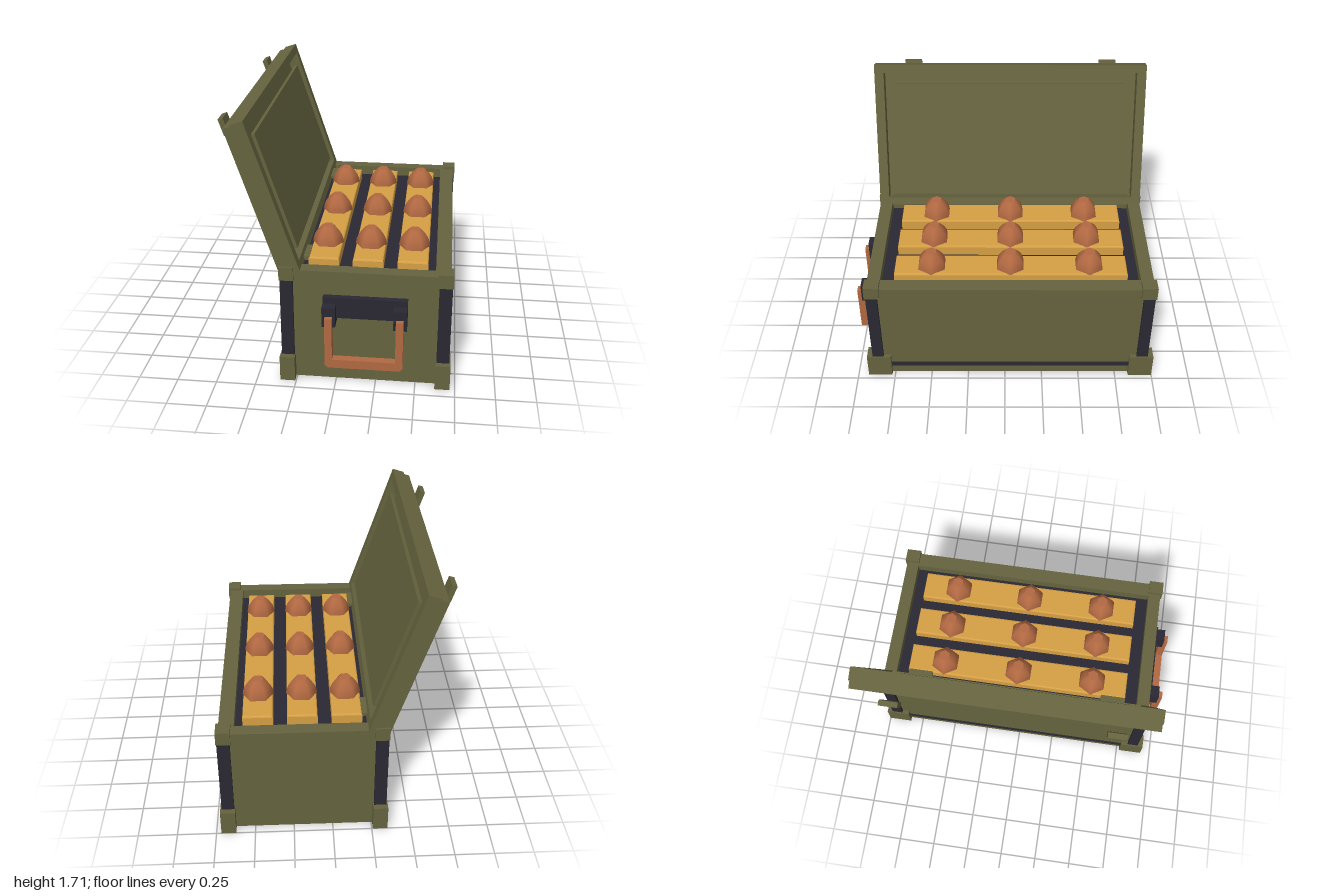
import * as THREE from 'three';

const CX = 0.183, CZ = -0.035; // centre of the crate body

const paint = (color) => new THREE.MeshStandardMaterial({ color });
const olive = paint(0x65633e), dark = paint(0x2a2832), copper = paint(0xb26942), wood = paint(0xd6a045);

function add(parent, name, geometry, material, x = 0, y = 0, z = 0) {
  const mesh = new THREE.Mesh(geometry, material);
  mesh.name = name;
  mesh.position.set(x, y, z);
  parent.add(mesh);
  return mesh;
}

// Box given by its lower and upper limits on each axis
function block(parent, name, material, [x0, x1], [y0, y1], [z0, z1]) {
  return add(parent, name, new THREE.BoxGeometry(x1 - x0, y1 - y0, z1 - z0), material,
    (x0 + x1) / 2, (y0 + y1) / 2, (z0 + z1) / 2);
}

function rectangle(Type, hw, hh) {
  return new Type([[-hw, -hh], [hw, -hh], [hw, hh], [-hw, hh]].map(([x, y]) => new THREE.Vector2(x, y)));
}

// Rectangular ring in the xy plane, extruded along z
function ring(hw, hh, innerW, innerH, depth) {
  const shape = rectangle(THREE.Shape, hw, hh);
  shape.holes.push(rectangle(THREE.Path, innerW, innerH));
  return new THREE.ExtrudeGeometry(shape, { depth, bevelEnabled: false });
}

function buildBody(root) {
  const body = new THREE.Group();
  body.name = 'body';
  body.position.set(CX, 0, CZ);
  root.add(body);

  // Main box, overhanging rim and the tray inside it
  block(body, 'mainBox', olive, [-0.507, 0.507], [0.005, 0.7], [-0.91, 0.91]);
  add(body, 'rim', ring(0.516, 0.922, 0.42, 0.838, 0.07).rotateX(-Math.PI / 2), olive, 0, 0.7, 0);
  block(body, 'tray', dark, [-0.42, 0.42], [0.69, 0.703], [-0.838, 0.838]);

  // Corner posts with feet and caps, and a dark strip on each long side
  for (const sx of [-1, 1]) {
    for (const sz of [-1, 1]) {
      add(body, 'cornerPost', new THREE.BoxGeometry(0.08, 0.56, 0.074), dark, sx * 0.486, 0.43, sz * 0.89);
      add(body, 'foot', new THREE.BoxGeometry(0.095, 0.17, 0.16), olive, sx * 0.4875, 0.085, sz * 0.885);
      add(body, 'cornerCap', new THREE.BoxGeometry(0.09, 0.09, 0.098), olive, sx * 0.485, 0.745, sz * 0.886);
    }
    add(body, 'sideStrip', new THREE.BoxGeometry(0.016, 0.032, 1.62), dark, sx * 0.506, 0.085, 0);
  }
}

function buildLid(root) {
  // Lid frame of reference: x out of the inside face, y down to up along the lid
  const lid = new THREE.Group();
  lid.name = 'lid';
  lid.position.set(-0.523, 1.705, CZ);
  lid.rotation.z = THREE.MathUtils.degToRad(18.1);
  root.add(lid);

  // Outer plate, raised border and a thin panel standing clear of the plate
  block(lid, 'lidPlate', olive, [-0.13, -0.08], [-0.995, -0.012], [-0.92, 0.92]);
  add(lid, 'lidBorder', ring(0.925, 0.5, 0.862, 0.446, 0.083).rotateY(Math.PI / 2), olive, -0.083, -0.5, 0);
  block(lid, 'lidInnerPanel', olive, [-0.032, -0.007], [-0.898, -0.129], [-0.778, 0.778]);

  // Latch plates standing off the outer face, hinge tabs at the foot
  for (const s of [-1, 1]) {
    add(lid, 'latch', new THREE.BoxGeometry(0.033, 0.108, 0.115), olive, -0.187, -0.05, s * 0.673);
    block(root, 'hingeTab', olive, [-0.27, -0.185], [0.755, 0.778], [CZ + s * 0.67 - 0.083, CZ + s * 0.67 + 0.083]);
  }
}

function buildHandle(root) {
  const handle = new THREE.Group();
  handle.name = 'handle';
  handle.position.x = CX;
  root.add(handle);

  // Bracket and its two lugs
  block(handle, 'handleBracket', dark, [-0.26, 0.26], [0.466, 0.606], [0.86, 0.912]);
  for (const s of [-1, 1]) {
    add(handle, 'handleLug', new THREE.BoxGeometry(0.083, 0.132, 0.09), dark, s * 0.2185, 0.498, 0.925);
  }

  // U-shaped grip with chamfered lower corners
  const outline = [[-0.24, 0.505], [-0.24, 0.18], [-0.222, 0.162], [0.222, 0.162], [0.24, 0.18], [0.24, 0.505],
    [0.194, 0.505], [0.194, 0.22], [-0.194, 0.22], [-0.194, 0.505]];
  const grip = new THREE.ExtrudeGeometry(new THREE.Shape(outline.map(([x, y]) => new THREE.Vector2(x, y))),
    { depth: 0.05, bevelEnabled: false });
  add(handle, 'handleGrip', grip, copper, 0, 0, 0.95);
}

function buildContents(root) {
  // Racks with softened edges, each carrying three hexagonal tips
  const rack = new THREE.ExtrudeGeometry(rectangle(THREE.Shape, 0.085, 0.747),
    { depth: 0.07, bevelThickness: 0.01, bevelSize: 0.01, bevelSegments: 2 }).rotateX(-Math.PI / 2);
  const profile = [[0.1, 0], [0.095, 0.03], [0.084, 0.06], [0.062, 0.093], [0.038, 0.118]];
  const tip = new THREE.LatheGeometry(profile.map(([r, y]) => new THREE.Vector2(r, y)), 6, Math.PI / 2);
  const tipCap = new THREE.CircleGeometry(0.038, 6).rotateX(-Math.PI / 2);
  for (let i = -1; i <= 1; i++) {
    const x = CX + i * 0.277;
    add(root, 'rack', rack, wood, x, 0.695, CZ - 0.003);
    for (let j = -1; j <= 1; j++) {
      add(root, 'tip', tip, copper, x, 0.772, CZ + j * 0.513);
      add(root, 'tipCap', tipCap, copper, x, 0.89, CZ + j * 0.513);
    }
  }
}

export function createModel() {
  const root = new THREE.Group();
  root.name = 'crate';
  buildBody(root);
  buildLid(root);
  buildHandle(root);
  buildContents(root);
  return root;
}
